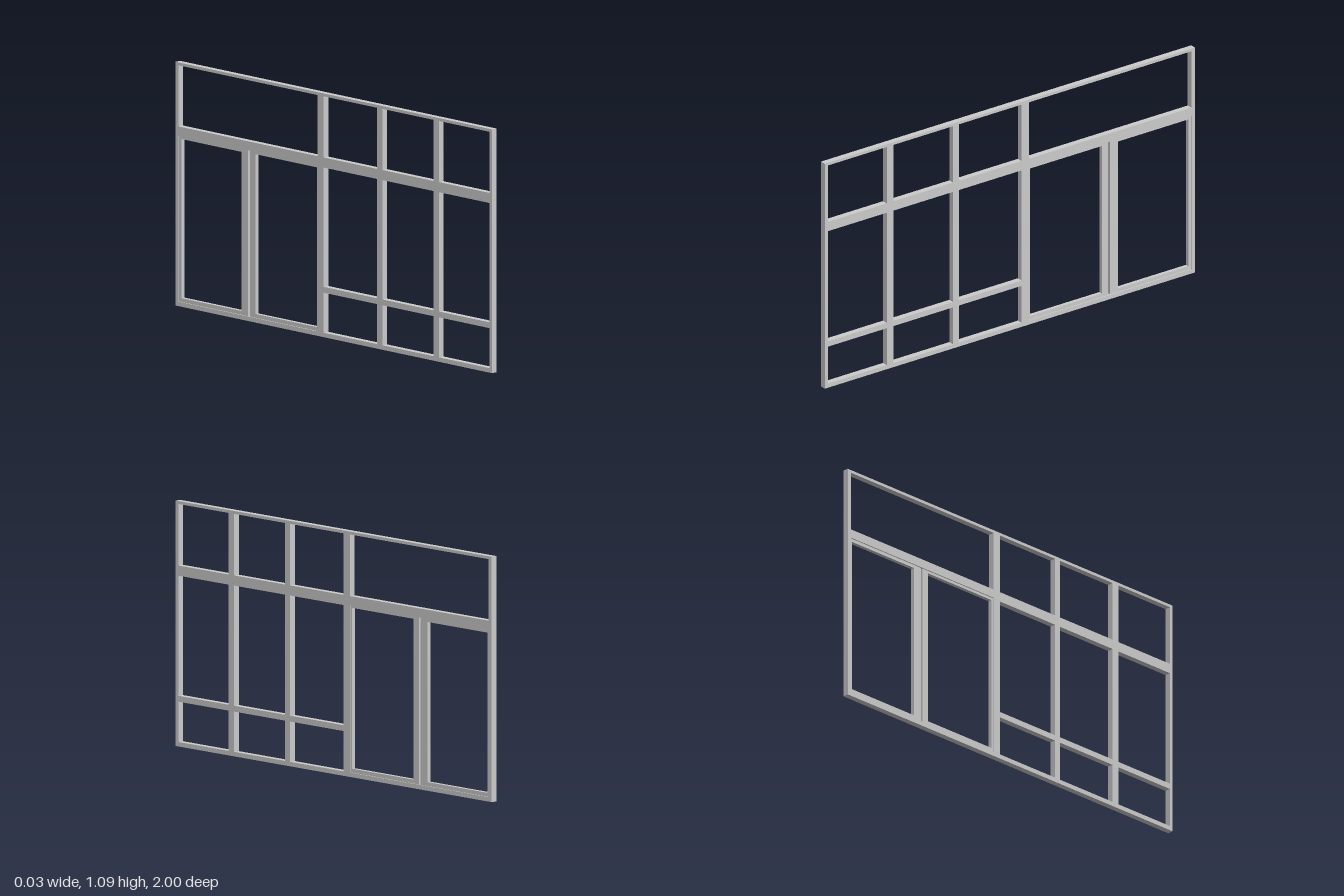
import * as THREE from 'three';

const material = new THREE.MeshStandardMaterial({ color: 0xcccccc, flatShading: true });

// Rectangle outline from (z0, y0) to (z1, y1)
function rect(path, [z0, z1, y0, y1]) {
  path.moveTo(z0, y0);
  path.lineTo(z1, y0);
  path.lineTo(z1, y1);
  path.lineTo(z0, y1);
  path.closePath();
  return path;
}

// Flat panel in the z-y plane with rectangular openings, centred on x = 0
function panel(name, outline, openings, depth) {
  const shape = rect(new THREE.Shape(), outline);
  for (const o of openings) shape.holes.push(rect(new THREE.Path(), o));
  const geometry = new THREE.ExtrudeGeometry(shape, { depth, bevelEnabled: false });
  geometry.translate(0, 0, -depth / 2);
  geometry.rotateY(-Math.PI / 2);
  const mesh = new THREE.Mesh(geometry, material);
  mesh.name = name;
  return mesh;
}

export function createModel() {
  const model = new THREE.Group();
  model.name = 'windowWall';

  // Fixed frame: three window bays, each with three panes
  const openings = [];
  const bays = [[0.665, 0.983], [0.307, 0.63], [-0.063, 0.275]];
  const rows = [[0.02, 0.198], [0.224, 0.755], [0.8, 1.072]];
  for (const bay of bays) for (const row of rows) openings.push([...bay, ...row]);

  // Door bay and the wide pane above it
  openings.push([-0.981, -0.102, 0.02, 0.76]);
  openings.push([-0.981, -0.102, 0.8, 1.072]);
  model.add(panel('fixedFrame', [-1, 1, 0, 1.085], openings, 0.028));

  // Pair of thinner door sashes, with a narrow gap between them
  const doors = new THREE.Group();
  doors.name = 'doors';
  doors.add(panel('frontDoorSash', [-0.535, -0.102, 0.02, 0.76], [[-0.5, -0.112, 0.037, 0.748]], 0.018));
  doors.add(panel('backDoorSash', [-0.981, -0.545, 0.02, 0.76], [[-0.968, -0.587, 0.037, 0.745]], 0.018));
  model.add(doors);

  return model;
}
